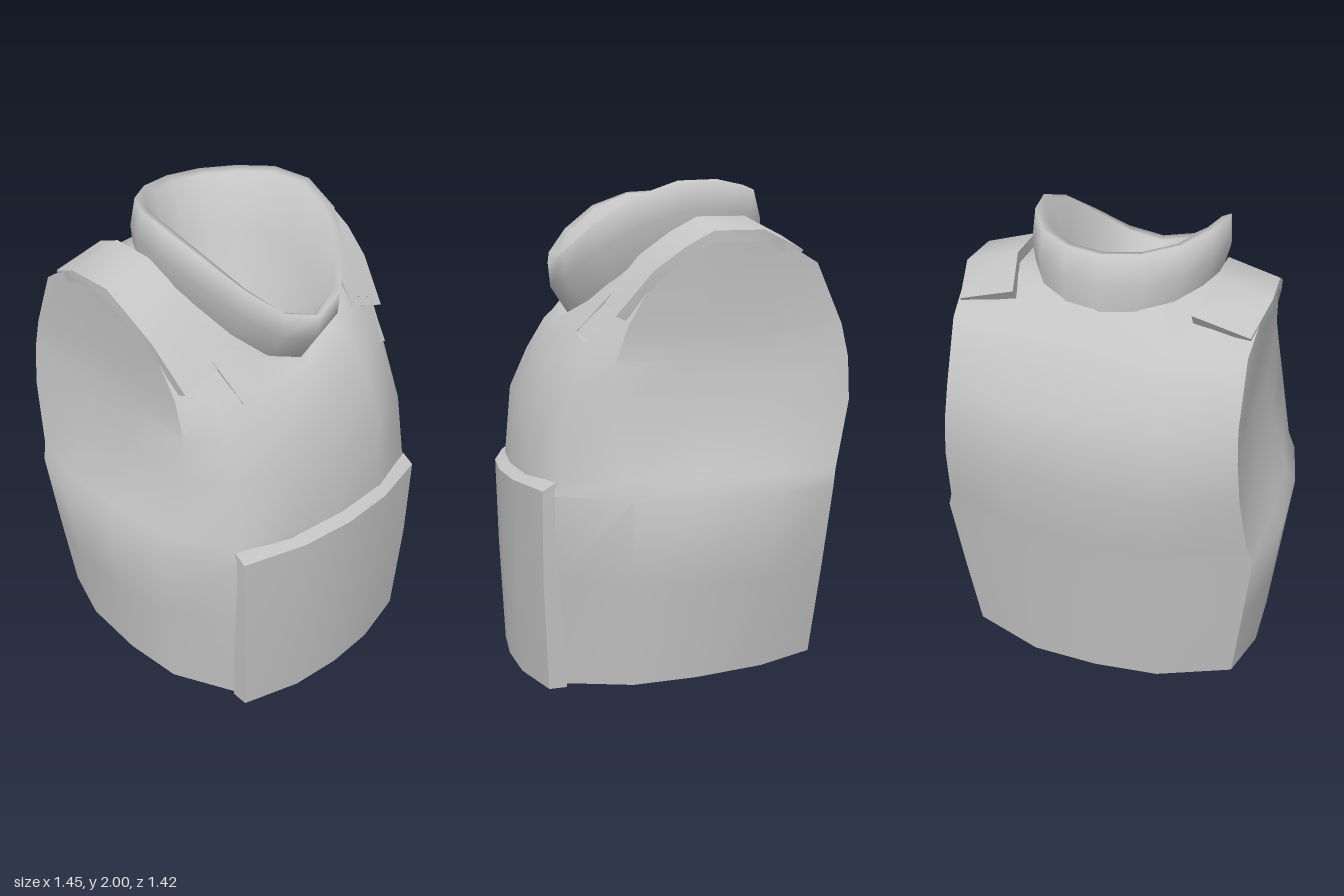
import * as THREE from 'three';
import { toCreasedNormals } from 'three/addons/utils/BufferGeometryUtils.js';

// Skin a list of closed rings of [x, y, z]; optional apex points close the ends
function loft(rings, bottom, top, crease = 0.75) {
  const n = rings[0].length, pos = rings.flat(2), idx = [];
  for (let i = 0; i < rings.length - 1; i++) {
    for (let j = 0; j < n; j++) {
      const a = i * n + j, b = i * n + (j + 1) % n;
      idx.push(a, b, b + n, a, b + n, a + n);
    }
  }
  const cap = (apex, start, up) => {
    const c = pos.length / 3;
    pos.push(...apex);
    for (let j = 0; j < n; j++) {
      const a = start + j, b = start + (j + 1) % n;
      idx.push(c, ...(up ? [a, b] : [b, a]));
    }
  };
  if (bottom) cap(bottom, 0, false);
  if (top) cap(top, (rings.length - 1) * n, true);
  const g = new THREE.BufferGeometry();
  g.setAttribute('position', new THREE.Float32BufferAttribute(pos, 3));
  g.setIndex(idx);
  return toCreasedNormals(g, crease);
}

// Complete a half ring that runs from front centre to back centre
const mirror = (half) => [
  ...half,
  ...half.slice(1, -1).reverse().map(([x, y, z]) => [-x, y, z]),
];

const centre = (ring) => [0, 1, 2].map((k) => ring.reduce((s, p) => s + p[k], 0) / ring.length);

// Unit outlines of the torso: rounded at the waist, flat-sided at the armholes
const ROUND = [[0, 1], [0.36, 0.97], [0.7, 0.86], [0.94, 0.46], [1, 0.08], [1, -0.38], [0.9, -0.78], [0.43, -0.98], [0, -1]];
const FLAT = [[0, 1], [0.45, 0.98], [0.8, 0.84], [0.99, 0.63], [1, 0.07], [1, -0.37], [1.02, -0.87], [0.53, -0.99], [0, -1]];

// Torso ring: depth to front and back, half width, blend from round to flat
function torsoRing([y, front, back, width, flat]) {
  return mirror(ROUND.map(([rx, rz], i) => {
    const x = THREE.MathUtils.lerp(rx, FLAT[i][0], flat);
    const z = THREE.MathUtils.lerp(rz, FLAT[i][1], flat);
    return [x * width, y, z * (z > 0 ? front : back)];
  }));
}

// Neck ring: an oval that dips toward the front
function hoop(rx, cz, rz, height, dip) {
  return Array.from({ length: 16 }, (_, j) => {
    const a = j * Math.PI / 8, c = Math.cos(a);
    const fall = dip * Math.max(0, (c + 0.35) / 1.35) ** 2.4;
    const rear = 0.045 * Math.max(0, -c - 0.35);
    return [rx * Math.sin(a), height - fall - rear, cz + rz * c];
  });
}

// Strap following a path of [y, z, inner x, outer x], sloping down outward
function strap(path, drop, thick, side) {
  const rings = path.map(([y, z, xi, xo]) => {
    const under = (h) => [1.4 + (h - 1.4) * (1 - thick) - thick * 0.1, -0.1 + (z + 0.1) * (1 - thick)];
    const r = [
      [xi, y, z], [xo, y - drop, z],
      [xo, ...under(y - drop)], [xi, ...under(y)],
    ].map(([x, b, c]) => [x * side, b, c]);
    return side < 0 ? r.reverse() : r;
  });
  return loft(rings, centre(rings[0]), centre(rings.at(-1)));
}

export function createModel() {
  const group = new THREE.Group();
  const grey = new THREE.MeshStandardMaterial({ color: 0xc4c4c4 });
  grey.name = 'light grey';
  const add = (name, geometry) => {
    const m = new THREE.Mesh(geometry, grey);
    m.name = name;
    group.add(m);
  };

  // Torso: tilted hem, waist, chest, armhole edge, neckline
  const hem = torsoRing([0, 0.64, 0.58, 0.65, 0])
    .map(([x, , z]) => [x, (0.68 - z) * 0.071 + 0.03 * Math.abs(x), z]);
  const levels = [
    [0.45, 0.66, 0.625, 0.69, 0],
    [0.79, 0.67, 0.665, 0.725, 0],
    [0.86, 0.66, 0.675, 0.68, 0.2],
    [1.13, 0.63, 0.71, 0.6, 0.8],
    [1.3, 0.55, 0.695, 0.57, 1],
    [1.43, 0.47, 0.665, 0.56, 1],
  ].map(torsoRing);
  const shoulderEdge = mirror([
    [0, 1.44, 0.44], [0.22, 1.52, 0.37], [0.4, 1.62, 0.24],
    [0.57, 1.66, 0.17], [0.585, 1.78, 0], [0.59, 1.79, -0.25],
    [0.57, 1.67, -0.47], [0.3, 1.66, -0.525], [0, 1.66, -0.525],
  ]);
  const neckline = hoop(0.35, -0.015, 0.4, 1.8, 0.345);
  add('torso', loft([hem, ...levels, shoulderEdge, neckline], [0, 0.06, 0]));

  // Raised panel over the belly: height, half width, edge depth, middle depth
  const panel = [[0, 0.47, 0.6, 0.68], [0.45, 0.49, 0.62, 0.7], [0.81, 0.5, 0.62, 0.71], [0.84, 0.5, 0.57, 0.655]]
    .map(([y, x, edge, mid]) => {
      const bow = THREE.MathUtils.lerp(edge, mid, 0.8), h = y || 0.01;
      return mirror([[0, y, mid], [x * 0.47, y, bow], [x, h, edge], [x, h, 0.53], [0, y, 0.6]]);
    });
  add('frontPanel', loft(panel, [0, 0, 0.64], [0, 0.84, 0.62]));

  // Standing collar with a funnel-shaped lining, smooth over the rim
  add('collar', loft([
    hoop(0.365, -0.015, 0.415, 1.78, 0.33),
    hoop(0.39, 0.025, 0.455, 1.88, 0.31),
    hoop(0.38, 0.045, 0.445, 2, 0.33),
    hoop(0.345, 0.05, 0.405, 1.99, 0.33),
    hoop(0.29, 0.04, 0.34, 1.75, 0.28),
  ], null, [0, 1.4, 0], Math.PI));

  // Shoulder pads and the short tabs below them
  const pad = [[1.53, 0.34, 0.355, 0.54], [1.7, 0.2, 0.37, 0.575], [1.79, 0.08, 0.385, 0.595],
    [1.85, -0.03, 0.395, 0.6], [1.855, -0.23, 0.39, 0.607], [1.78, -0.41, 0.345, 0.565]];
  const tab = [[1.55, 0.32, 0.39, 0.49], [1.405, 0.45, 0.35, 0.45]];
  for (const [label, side] of [['left', 1], ['right', -1]]) {
    add(label + 'ShoulderPad', strap(pad, 0.06, 0.09, side));
    add(label + 'StrapTab', strap(tab, 0.03, 0.07, side));
  }
  return group;
}
